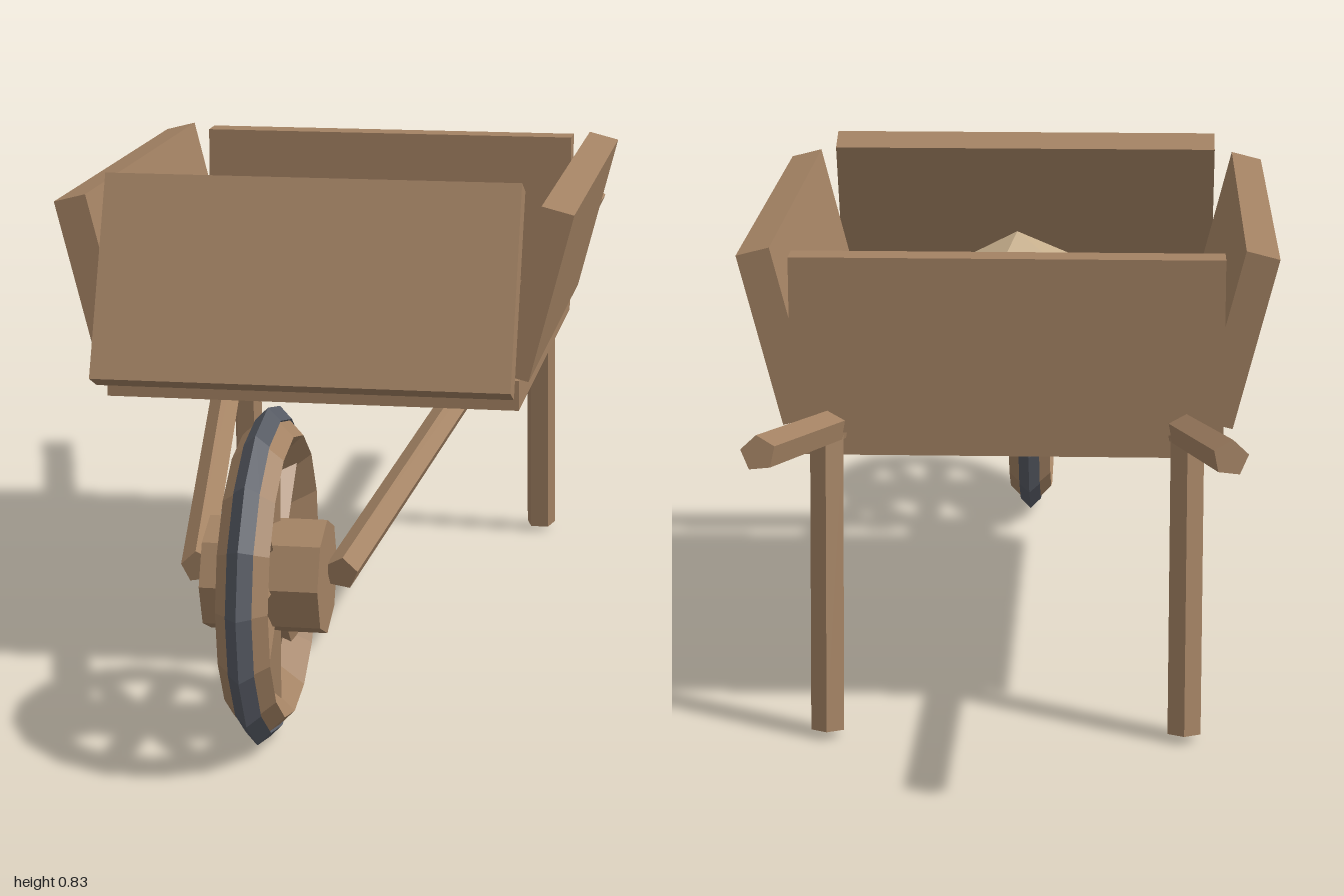
import * as THREE from 'three';
import { ConvexGeometry } from 'three/addons/geometries/ConvexGeometry.js';

export function createModel() {
  const model = new THREE.Group();
  model.name = 'wheelbarrow';

  const flat = (name, color) => {
    const m = new THREE.MeshStandardMaterial({ color, flatShading: true });
    m.name = name;
    return m;
  };
  const wood = flat('wood', 0xa38263);
  const iron = flat('iron', 0x565a63);
  const sand = flat('sand', 0xc6ae8c);

  const add = (parent, name, geometry, material, x = 0, y = 0, z = 0) => {
    const mesh = new THREE.Mesh(geometry, material);
    mesh.name = name;
    mesh.position.set(x, y, z);
    parent.add(mesh);
    return mesh;
  };

  // Five-sided pole running between two points
  const pole = (parent, name, a, b, radius) => {
    const from = new THREE.Vector3(...a), to = new THREE.Vector3(...b);
    const dir = to.clone().sub(from);
    const mesh = add(parent, name, new THREE.CylinderGeometry(radius, radius, dir.length(), 5), wood);
    mesh.position.copy(from).add(to).multiplyScalar(0.5);
    mesh.quaternion.setFromUnitVectors(new THREE.Vector3(0, 1, 0), dir.normalize());
    return mesh;
  };

  // Tray: floor, upright back board and leaning front board
  add(model, 'trayFloor', new THREE.BoxGeometry(0.69, 0.05, 0.865), wood, 0, 0.481, -0.077);
  add(model, 'backBoard', new THREE.BoxGeometry(0.69, 0.285, 0.052), wood, 0, 0.644, -0.514);
  const front = add(model, 'frontBoard', new THREE.BoxGeometry(0.69, 0.346, 0.055), wood, 0, 0.661, 0.389);
  front.rotation.x = -0.4;

  // Mirrored side boards, handles and legs
  for (const [side, s] of [['left', 1], ['right', -1]]) {
    const board = add(model, side + 'SideBoard', new THREE.BoxGeometry(0.055, 0.286, 0.865), wood, s * 0.369, 0.65, -0.077);
    board.rotation.z = -s * 0.25;
    pole(model, side + 'Handle', [s * 0.113, 0.275, 0.73], [s * 0.343, 0.594, -0.995], 0.027);
    pole(model, side + 'Leg', [s * 0.288, 0.5, -0.525], [s * 0.288, 0.016, -0.585], 0.028);
  }

  // Wheel, spinning about x
  const wheel = new THREE.Group();
  wheel.name = 'wheel';
  wheel.position.set(0, 0.27, 0.735);
  model.add(wheel);
  add(wheel, 'tyre', new THREE.TorusGeometry(0.245, 0.02, 4, 16).rotateY(Math.PI / 2), iron);
  add(wheel, 'rim', new THREE.TorusGeometry(0.22, 0.04, 4, 16).rotateY(Math.PI / 2), wood);
  add(wheel, 'hub', new THREE.CylinderGeometry(0.091, 0.091, 0.184, 8).rotateZ(Math.PI / 2), wood);
  for (let i = 0; i < 8; i++) {
    const a = (i / 8) * Math.PI * 2, y = Math.sin(a), z = Math.cos(a);
    pole(wheel, 'spoke', [0, y * 0.06, z * 0.06], [0, y * 0.21, z * 0.21], 0.021);
  }

  // Faceted heap of sand: apex, upper ring and a staggered ring on the floor
  const heap = [new THREE.Vector3(0, 0.735, 0)];
  for (let i = 0; i < 5; i++) {
    for (const [turn, y] of [[0, 0.615], [Math.PI, 0.5]]) {
      const a = (i / 5) * Math.PI * 2 + turn;
      heap.push(new THREE.Vector3(Math.cos(a) * 0.238, y, Math.sin(a) * 0.295));
    }
  }
  add(model, 'sandHeap', new ConvexGeometry(heap), sand, 0, 0, -0.08);

  return model;
}
